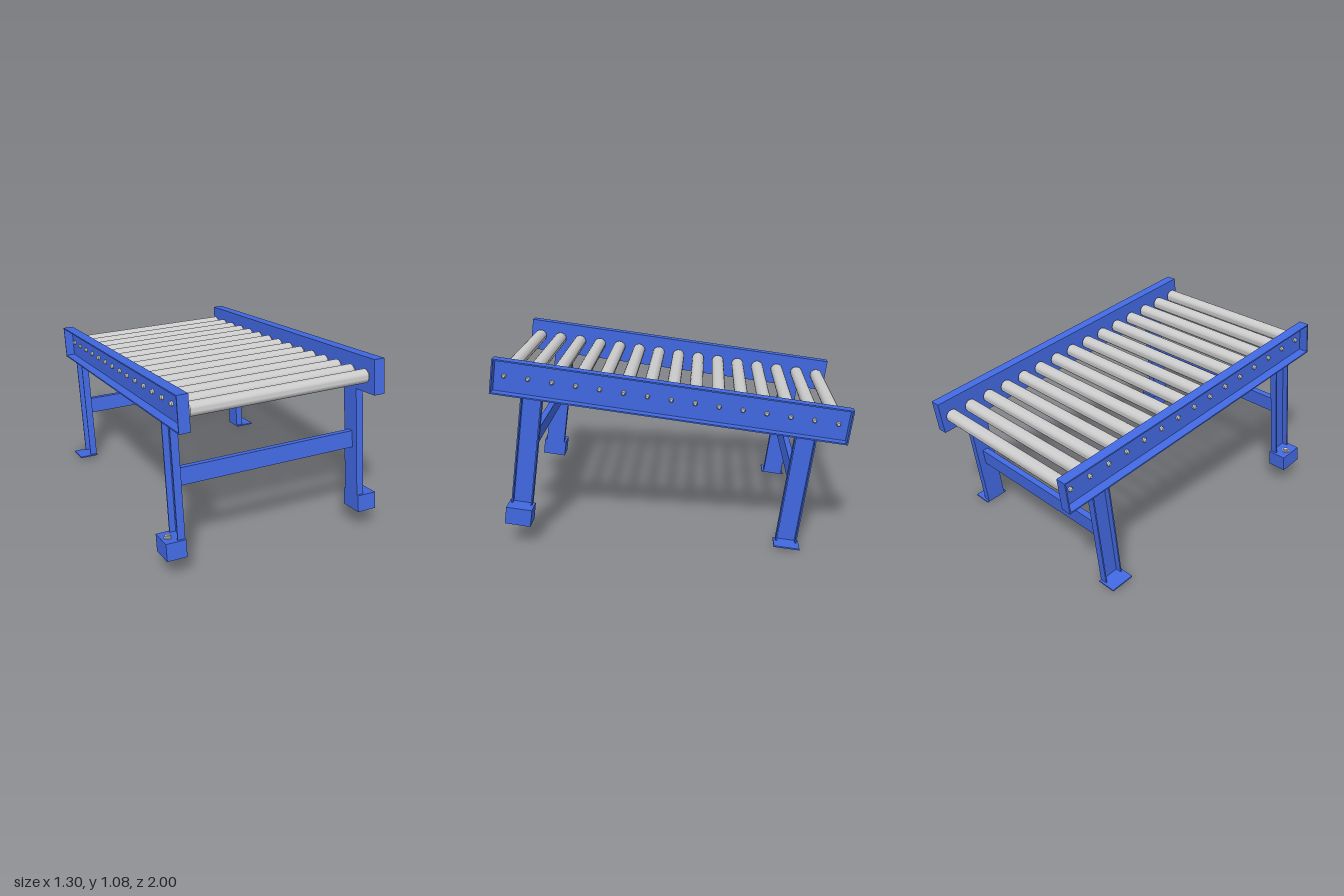
import * as THREE from 'three';
import { toCreasedNormals } from 'three/addons/utils/BufferGeometryUtils.js';

const TILT = 0.1375;      // slope of the conveyor, front end raised
const LENGTH = 1.99;      // rail length
const HEIGHT = 0.198;     // rail height
const INNER = 0.535;      // inner face of rails and legs
const T = 0.008;          // sheet thickness
const LEG_Z = 0.765;
const LEG_BOTTOM = -0.734;

const blue = new THREE.MeshStandardMaterial({ color: 0x4169e1 });
const grey = new THREE.MeshStandardMaterial({ color: 0xcccccc });

function add(parent, name, geometry, material, x = 0, y = 0, z = 0) {
  const mesh = new THREE.Mesh(geometry, material);
  mesh.name = name;
  mesh.position.set(x, y, z);
  parent.add(mesh);
  return mesh;
}

const box = (w, h, d) => new THREE.BoxGeometry(w, h, d);

// Solid of revolution lying along x, from [radius, x] pairs
function turned(points, segments) {
  const profile = points.map(([r, x]) => new THREE.Vector2(r, x));
  const lathe = new THREE.LatheGeometry(profile, segments);
  return toCreasedNormals(lathe.rotateZ(-Math.PI / 2), 0.6);
}

// Channel rail, open to the outside, with closed ends
function makeRail(side) {
  const rail = new THREE.Group();
  rail.name = 'sideRail';
  const width = 0.063;
  const mid = side * (INNER + width / 2);
  add(rail, 'railWeb', box(T, HEIGHT, LENGTH), blue, side * (INNER + T / 2));
  for (const s of [-1, 1]) {
    add(rail, 'railFlange', box(width, T, LENGTH), blue, mid, s * (HEIGHT - T) / 2);
    add(rail, 'railEndPlate', box(width, HEIGHT, T), blue, mid, 0, s * (LENGTH - T) / 2);
  }
  return rail;
}

// Channel leg, open to the outside, on a plate (back) or block (front)
function makeLeg(side, end) {
  const leg = new THREE.Group();
  leg.name = end > 0 ? 'frontLeg' : 'backLeg';
  const top = -HEIGHT / 2;
  const h = top - LEG_BOTTOM;
  const y = (top + LEG_BOTTOM) / 2;
  const depth = 0.12, width = 0.043;
  add(leg, 'legWeb', box(T, h, depth), blue, side * (INNER + T / 2), y);
  for (const s of [-1, 1]) {
    add(leg, 'legFlange', box(width, h, T), blue, side * (INNER + width / 2), y, s * (depth - T) / 2);
  }
  const footH = end > 0 ? 0.1 : T;
  add(leg, 'foot', box(0.115, footH, 0.147), blue, side * (INNER + 0.0575), LEG_BOTTOM - footH / 2);
  leg.position.z = end * LEG_Z;
  return leg;
}

export function createModel() {
  const model = new THREE.Group();
  model.name = 'rollerConveyor';
  const frame = new THREE.Group();
  frame.name = 'tiltedFrame';
  frame.position.y = 0.85;
  frame.rotation.x = -TILT;
  model.add(frame);

  for (const side of [-1, 1]) {
    frame.add(makeRail(side));
    for (const end of [-1, 1]) frame.add(makeLeg(side, end));
  }

  // Cross bars between each pair of legs
  add(frame, 'frontCrossBar', box(2 * INNER, 0.098, 0.036), blue, 0, -0.404, LEG_Z);
  add(frame, 'backCrossBar', box(2 * INNER, 0.098, 0.036), blue, 0, -0.404, -LEG_Z);

  // Rollers with chamfered ends, and their axle ends outside the rails
  const roller = turned([[0, -0.534], [0.022, -0.534], [0.039, -0.518],
    [0.039, 0.518], [0.022, 0.534], [0, 0.534]], 28);
  const axle = turned([[0, -0.562], [0.008, -0.56], [0.013, -0.553], [0.013, 0.553],
    [0.008, 0.56], [0, 0.562]], 14);
  for (let i = 0; i < 15; i++) {
    const z = (i - 7) * 0.133;
    add(frame, 'roller', roller, grey, 0, 0, z);
    add(frame, 'axle', axle, grey, 0, 0, z);
  }

  // Anchor bolt through the right front foot
  const bolt = new THREE.Group();
  bolt.name = 'anchorBolt';
  bolt.position.set(-0.61, LEG_BOTTOM, LEG_Z);
  add(bolt, 'washer', new THREE.CylinderGeometry(0.023, 0.023, 0.004, 24), grey, 0, 0.002);
  add(bolt, 'nut', new THREE.CylinderGeometry(0.017, 0.017, 0.01, 6), grey, 0, 0.008);
  add(bolt, 'shank', new THREE.CylinderGeometry(0.009, 0.009, 0.116, 16), grey, 0, -0.043);
  frame.add(bolt);

  return model;
}
